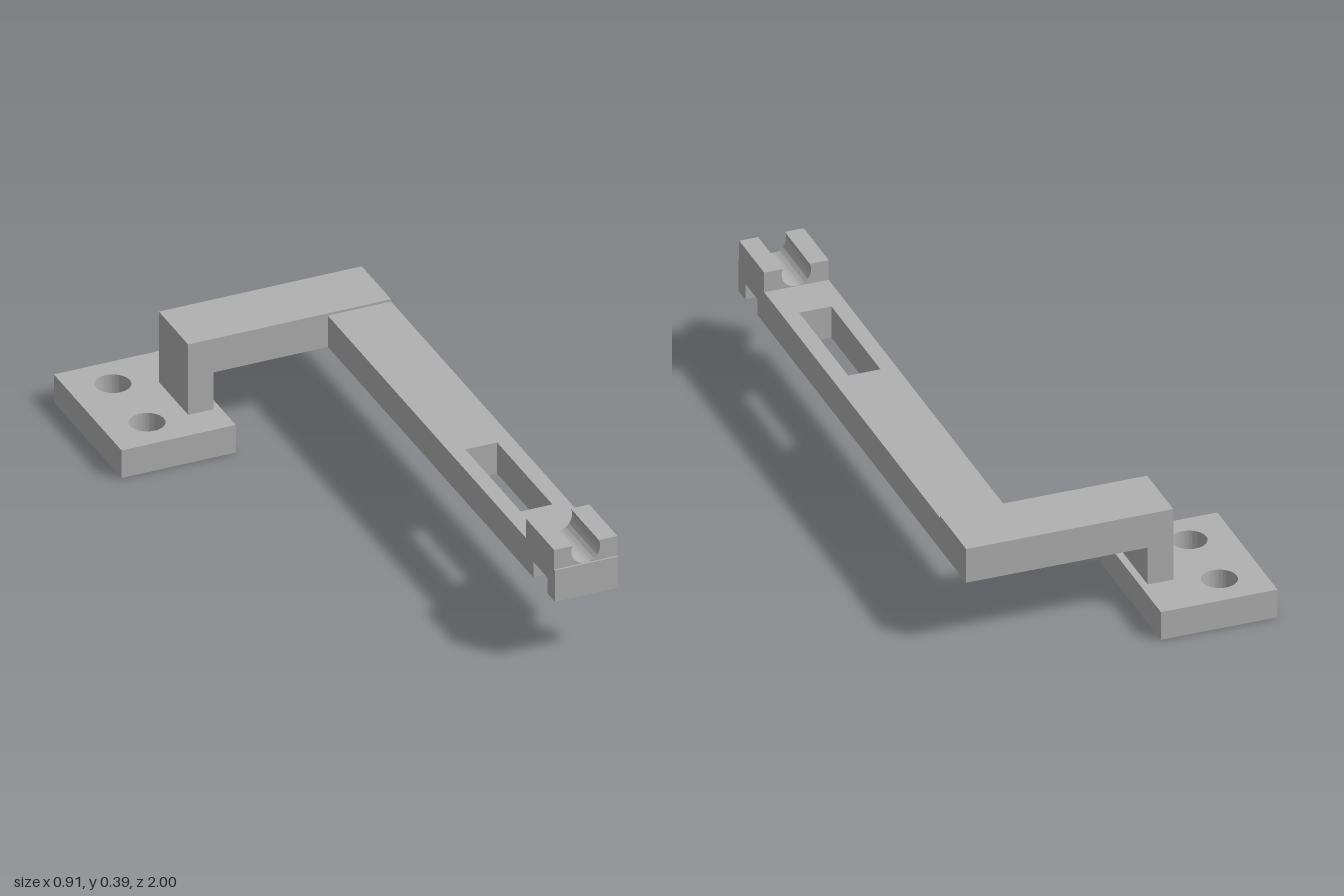
import * as THREE from 'three';
import { toCreasedNormals } from 'three/addons/utils/BufferGeometryUtils.js';

export function createModel() {
  const group = new THREE.Group();
  const grey = new THREE.MeshStandardMaterial({ color: 0xb0b0b0 });
  grey.name = 'grey';

  const add = (name, geometry) => {
    const mesh = new THREE.Mesh(toCreasedNormals(geometry, 0.6), grey);
    mesh.name = name;
    group.add(mesh);
  };
  const polygon = (points) => new THREE.Shape(points.map(([x, y]) => new THREE.Vector2(x, y)));
  const rect = (x0, x1, y0, y1) => polygon([[x0, y0], [x1, y0], [x1, y1], [x0, y1]]);
  const extrude = (shape, depth) =>
    new THREE.ExtrudeGeometry(shape, { depth, bevelEnabled: false, curveSegments: 32 });

  // Plan shapes use (x, -z) and rise from y0 to y1
  const fromPlan = (shape, y0, y1) => extrude(shape, y1 - y0).rotateX(-Math.PI / 2).translate(0, y0, 0);
  // Front shapes use (x, y) and run from z0 to z1
  const fromFront = (shape, z0, z1) => extrude(shape, z1 - z0).translate(0, 0, z0);
  // Side shapes use (-z, y) and run from x0 to x1
  const fromSide = (shape, x0, x1) => extrude(shape, x1 - x0).rotateY(Math.PI / 2).translate(x0, 0, 0);

  // Mounting plate with two screw holes
  const plate = rect(-0.455, -0.09, 0.515, 1);
  for (const z of [-0.88, -0.635]) {
    plate.holes.push(new THREE.Path().absarc(-0.32, -z, 0.054, 0, Math.PI * 2, true));
  }
  add('mountingPlate', fromPlan(plate, 0, 0.093));

  // Post and cross arm in one bent bar
  add('postAndCrossArm', fromFront(polygon([
    [-0.193, 0.093], [-0.113, 0.093], [-0.113, 0.217],
    [0.455, 0.217], [0.455, 0.33], [-0.193, 0.33],
  ]), -0.835, -0.625));

  // Long arm with a slot through it
  const arm = rect(0.253, 0.455, -0.745, 0.625);
  arm.holes.push(rect(0.302, 0.403, -0.645, -0.25));
  add('longArm', fromPlan(arm, 0.217, 0.322));

  // Arm tip with a notch across its underside
  add('notchedTip', fromSide(polygon([
    [-1, 0.217], [-0.945, 0.217], [-0.945, 0.27], [-0.845, 0.27], [-0.845, 0.217],
    [-0.745, 0.217], [-0.745, 0.322], [-1, 0.322],
  ]), 0.253, 0.455));

  // Clip head with a round groove open at the top
  const cx = 0.354, cy = 0.3685, r = 0.046, top = 0.388;
  const lip = Math.asin((top - cy) / r);
  const clip = new THREE.Shape();
  clip.moveTo(0.253, 0.322);
  clip.lineTo(0.455, 0.322);
  clip.lineTo(0.455, top);
  clip.absarc(cx, cy, r, lip, Math.PI - lip, true);
  clip.lineTo(0.253, top);
  clip.closePath();
  add('clipHead', fromFront(clip, 0.793, 0.994));

  return group;
}
